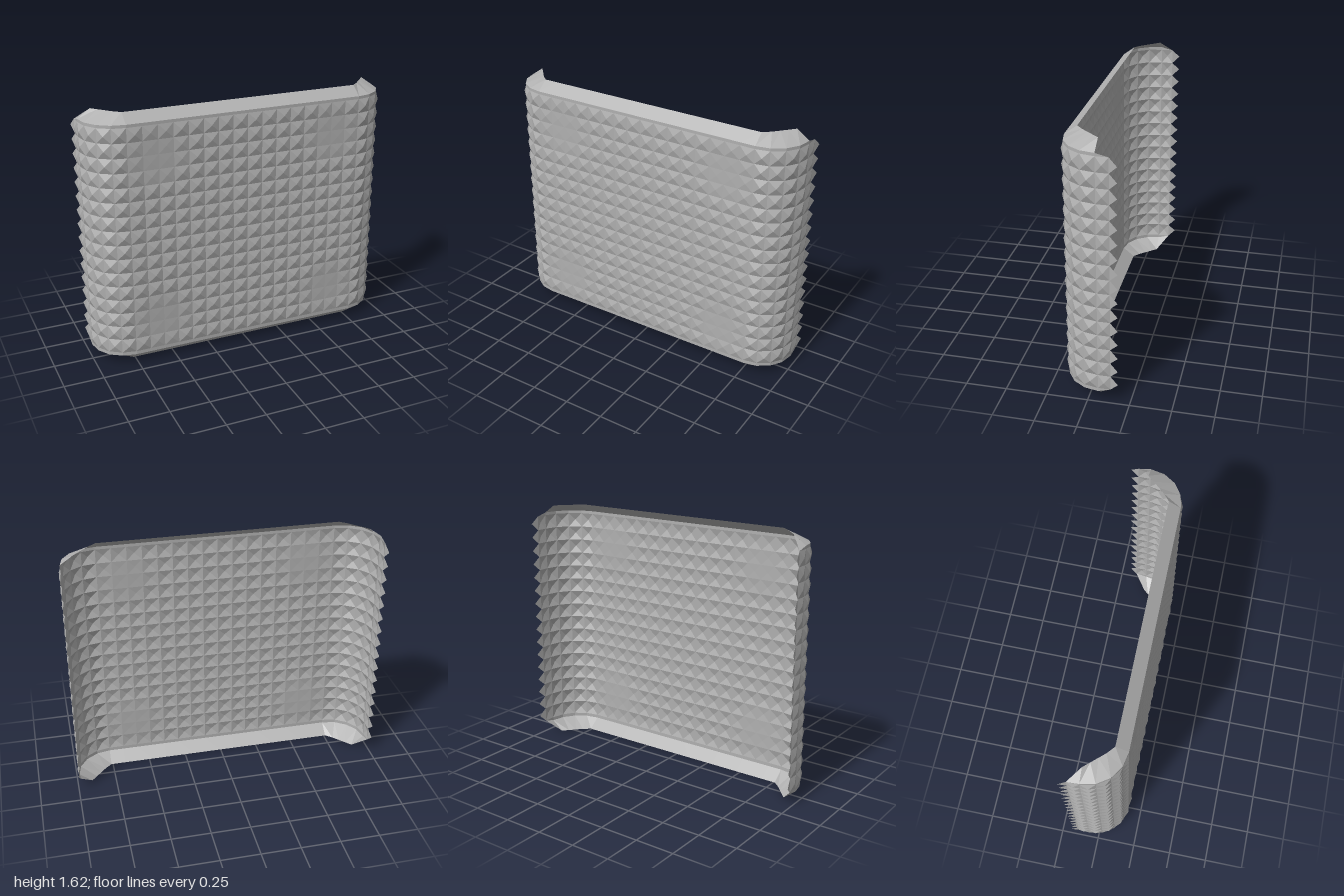
import * as THREE from 'three';

const FLAT = 0.76, R = 0.225, ZC = -0.06, ARC = R * Math.PI / 2, TAIL = 0.075;
const ROWS = 16, PITCH = 0.0914, Y0 = 0.084, Y1 = Y0 + ROWS * PITCH;
const EDGE_LOW = 0.062, EDGE_HIGH = 1.565, HEIGHT = 1.62;

// Point on the wrapped outline at signed distance s from the middle, pushed out by h
function wrap(s, y, h = 0) {
  const side = Math.sign(s), d = Math.abs(s);
  if (d <= FLAT) return [s, y, ZC + R + h];
  if (d <= FLAT + ARC) {
    const a = (d - FLAT) / R;
    return [side * (FLAT + (R + h) * Math.sin(a)), y, ZC + (R + h) * Math.cos(a)];
  }
  return [side * (FLAT + R + h), y, ZC - (d - FLAT - ARC)];
}

// Inner rim of the bevel matching distance s
function rim(s, y) {
  const d = Math.abs(s);
  if (d <= FLAT) return [s, y, 0.09];
  const t = (d - FLAT) / ARC;
  return [Math.sign(s) * (FLAT + 0.01 + t * 0.135), y, 0.09 - t * 0.15];
}

// Bump height, fading out in four worn patches near the corners
function bump(s, y) {
  const d = Math.abs(s);
  const dy = Math.min(Math.abs(y - 0.28), Math.abs(y - 1.34));
  const r = Math.hypot(d - 0.58, dy) / 0.2;
  return 0.012 * Math.min(1, Math.max(0.1, r * r));
}

function meshFrom(name, points, material) {
  const geometry = new THREE.BufferGeometry();
  geometry.setAttribute('position', new THREE.Float32BufferAttribute(points.flat(), 3));
  geometry.computeVertexNormals();
  const mesh = new THREE.Mesh(geometry, material);
  mesh.name = name;
  return mesh;
}

export function createModel() {
  const group = new THREE.Group();
  group.name = 'studdedShell';
  const grey = new THREE.MeshStandardMaterial({ color: 0xb0b0b0, flatShading: true, side: THREE.DoubleSide });
  grey.name = 'grey';

  // Cell borders along the outline: flat front, rounded corner, short return
  const stations = [];
  for (let i = -8; i <= 8; i++) stations.push(i * FLAT / 8);
  for (let i = 1; i <= 4; i++) {
    const d = FLAT + ARC * i / 4;
    stations.push(d);
    stations.unshift(-d);
  }
  const bevelStations = stations.slice();
  const END = FLAT + ARC + TAIL;
  stations.push(END);
  stations.unshift(-END);

  // Panel covered by shallow four-sided pyramids
  const panel = [];
  const quad = (list, a, b, c, d) => list.push(a, b, c, a, c, d);
  for (let i = 0; i < stations.length - 1; i++) {
    const s0 = stations[i], s1 = stations[i + 1], sm = (s0 + s1) / 2;
    for (let k = 0; k < ROWS; k++) {
      const y0 = Y0 + k * PITCH, y1 = y0 + PITCH, ym = (y0 + y1) / 2;
      const tip = wrap(sm, ym, bump(sm, ym));
      const corners = [wrap(s0, y0), wrap(s1, y0), wrap(s1, y1), wrap(s0, y1)];
      for (let c = 0; c < 4; c++) panel.push(corners[c], corners[(c + 1) % 4], tip);
    }
    // Plain margins joining the bevels
    const low = s => Math.abs(s) === END ? Y0 : EDGE_LOW;
    const high = s => Math.abs(s) === END ? Y1 : EDGE_HIGH;
    quad(panel, wrap(s0, low(s0)), wrap(s1, low(s1)), wrap(s1, Y0), wrap(s0, Y0));
    quad(panel, wrap(s0, Y1), wrap(s1, Y1), wrap(s1, high(s1)), wrap(s0, high(s0)));
  }
  group.add(meshFrom('studdedPanel', panel, grey));

  // Saw teeth along both open side edges
  for (const side of [1, -1]) {
    const teeth = [];
    for (let k = 0; k < ROWS; k++) {
      const y = Y0 + k * PITCH;
      const a = wrap(side * END, y), b = wrap(side * END, y + PITCH);
      const tip = wrap(side * (END + 0.047), y + PITCH / 2, 0.012);
      teeth.push(...(side > 0 ? [a, tip, b] : [b, tip, a]));
    }
    group.add(meshFrom(side > 0 ? 'leftTeeth' : 'rightTeeth', teeth, grey));
  }

  // Sloping top and bottom bevels
  const top = [], bottom = [];
  for (let i = 0; i < bevelStations.length - 1; i++) {
    const a = bevelStations[i], b = bevelStations[i + 1];
    quad(top, wrap(a, EDGE_HIGH), wrap(b, EDGE_HIGH), rim(b, HEIGHT), rim(a, HEIGHT));
    quad(bottom, rim(a, 0), rim(b, 0), wrap(b, EDGE_LOW), wrap(a, EDGE_LOW));
  }
  // Small end flaps at the corners
  const last = FLAT + ARC;
  bottom.push(rim(last, 0), wrap(END, Y0), wrap(last, EDGE_LOW));
  bottom.push(rim(-last, 0), wrap(-last, EDGE_LOW), wrap(-END, Y0));
  top.push(rim(-last, HEIGHT), wrap(-END, Y1), wrap(-last, EDGE_HIGH));
  group.add(meshFrom('topBevel', top, grey), meshFrom('bottomBevel', bottom, grey));

  return group;
}
